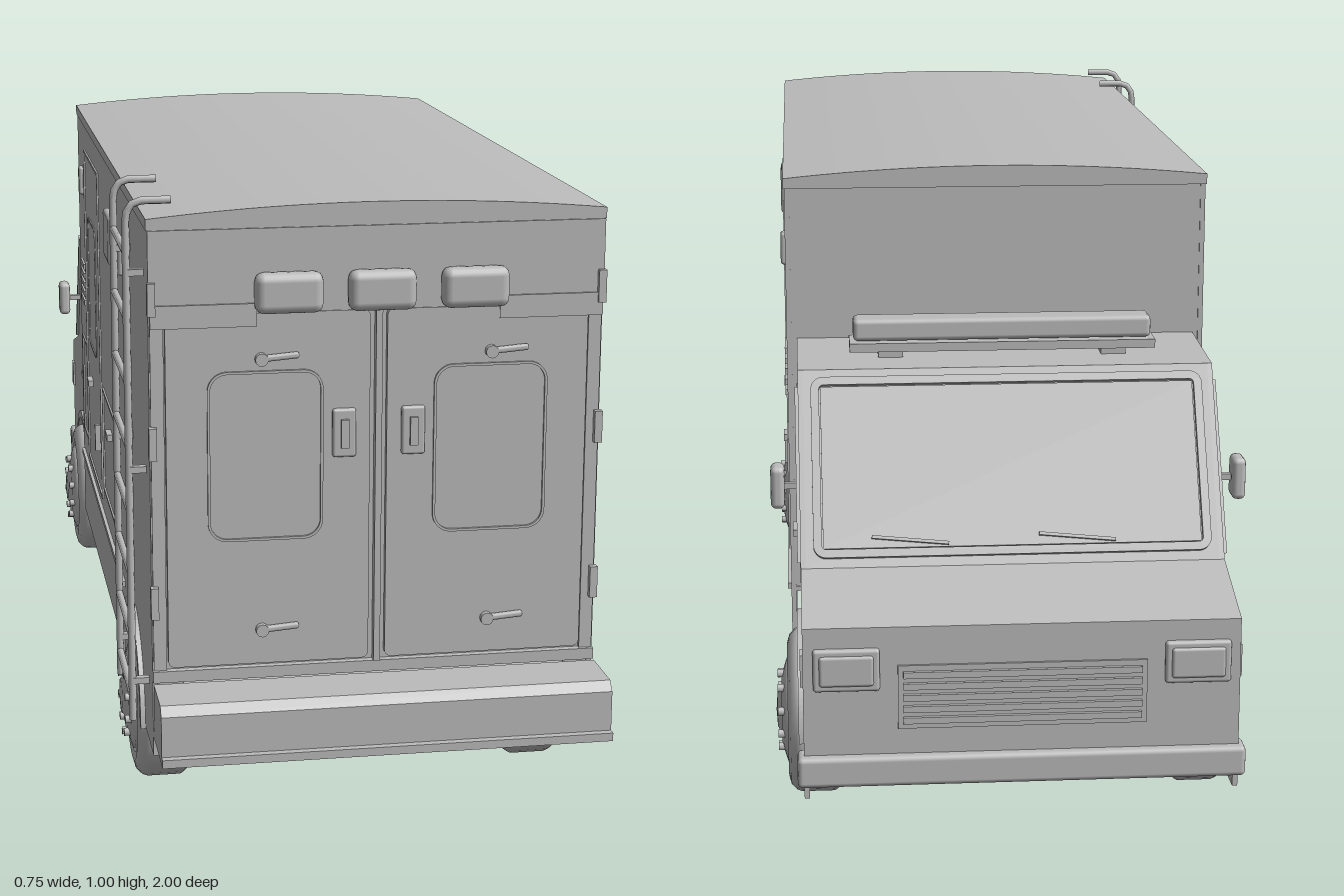
import * as THREE from 'three';
import { RoundedBoxGeometry } from 'three/addons/geometries/RoundedBoxGeometry.js';

const grey = new THREE.MeshStandardMaterial({ color: 0xbcbcbc });
grey.name = 'plain grey';

export function createModel() {
  const model = new THREE.Group();
  model.name = 'boxTruck';

  const add = (name, geo, x = 0, y = 0, z = 0, parent = model) => {
    const m = new THREE.Mesh(geo, grey);
    m.name = name;
    m.position.set(x, y, z);
    parent.add(m);
    return m;
  };
  // Box given by its limits on each axis
  const box = (name, x0, x1, y0, y1, z0, z1, parent) =>
    add(name, new THREE.BoxGeometry(x1 - x0, y1 - y0, z1 - z0),
      (x0 + x1) / 2, (y0 + y1) / 2, (z0 + z1) / 2, parent);
  const rounded = (name, w, h, d, x, y, z, r) =>
    add(name, new RoundedBoxGeometry(w, h, d, 2, r), x, y, z);
  // Side profile drawn as (-z, y), extruded along x
  const across = (name, shape, x0, x1) => {
    const g = new THREE.ExtrudeGeometry(shape, { depth: x1 - x0, bevelEnabled: false, curveSegments: 24 });
    return add(name, g.rotateY(Math.PI / 2), x0);
  };
  const poly = pts => new THREE.Shape(pts.map(p => new THREE.Vector2(...p)));
  const roundRect = (w, h, r) => {
    const s = new THREE.Shape(), a = w / 2 - r, b = h / 2 - r;
    s.absarc(a, b, r, 0, Math.PI / 2);
    s.absarc(-a, b, r, Math.PI / 2, Math.PI);
    s.absarc(-a, -b, r, Math.PI, Math.PI * 1.5);
    s.absarc(a, -b, r, Math.PI * 1.5, Math.PI * 2);
    return s;
  };
  const plate = (w, h, r, d, border = 0) => {
    const s = roundRect(w, h, r);
    if (border) s.holes.push(roundRect(w - 2 * border, h - 2 * border, r - border));
    return new THREE.ExtrudeGeometry(s, { depth: d, bevelEnabled: false, curveSegments: 6 });
  };

  const W = 0.347, CW = 0.33, REAR = 0.87, FRONT = -0.475;
  const AXLES = [0.59, -0.665], AXLE_Y = 0.134;

  // Cargo box: side walls with wheel cut-outs
  const wall = new THREE.Shape();
  wall.moveTo(-REAR, 0.14);
  wall.lineTo(-AXLES[0] - 0.15, 0.14);
  wall.absarc(-AXLES[0], 0.14, 0.15, Math.PI, 0, true);
  wall.lineTo(-FRONT, 0.14);
  wall.lineTo(-FRONT, 0.967);
  wall.lineTo(-REAR, 0.967);
  across('leftBoxWall', wall, W - 0.008, W);
  across('rightBoxWall', wall, -W, -W + 0.008);
  box('rearWall', -W + 0.008, W - 0.008, 0.172, 0.967, REAR - 0.02, REAR - 0.002);
  box('frontBulkhead', -W + 0.008, W - 0.008, 0.28, 0.967, FRONT + 0.002, FRONT + 0.012);
  box('floor', -W + 0.008, W - 0.008, 0.272, 0.28, FRONT, REAR - 0.02);
  box('cabFloor', -CW + 0.008, CW - 0.008, 0.272, 0.28, -0.972, FRONT);

  // Crowned roof
  const crown = new THREE.Shape();
  crown.moveTo(-W - 0.002, 0.962);
  crown.lineTo(W + 0.002, 0.962);
  crown.lineTo(W + 0.002, 0.979);
  crown.quadraticCurveTo(0, 1.015, -W - 0.002, 0.979);
  add('roof', new THREE.ExtrudeGeometry(crown, { depth: REAR - FRONT + 0.006, bevelEnabled: false, curveSegments: 24 }), 0, 0, FRONT - 0.003);

  // Cab: two cheeks and a folded shell between them
  const cab = new THREE.Shape();
  cab.moveTo(0.475, 0.115);
  cab.lineTo(0.515, 0.115);
  cab.lineTo(0.515, 0.14);
  cab.absarc(0.665, 0.14, 0.15, Math.PI, 0, true);
  cab.lineTo(0.815, 0.115);
  [[0.985, 0.115], [0.985, 0.385], [0.83, 0.428], [0.672, 0.705], [0.475, 0.712]].forEach(p => cab.lineTo(...p));
  across('leftCabSide', cab, CW - 0.008, CW);
  across('rightCabSide', cab, -CW, -CW + 0.008);
  across('cabShell', poly([[0.475, 0.712], [0.672, 0.705], [0.83, 0.428], [0.985, 0.385], [0.985, 0.136],
    [0.975, 0.136], [0.975, 0.378], [0.824, 0.42], [0.667, 0.697], [0.475, 0.704]]), -CW + 0.008, CW - 0.008);

  // Windshield with frame and wipers
  const screen = new THREE.Group();
  screen.name = 'windshield';
  screen.position.set(0, 0.567, -0.752);
  screen.rotation.x = 0.518;
  model.add(screen);
  add('windshieldFrame', plate(0.62, 0.29, 0.02, 0.009, 0.013), 0, 0, -0.009, screen);
  box('windshieldGlass', -0.295, 0.295, -0.13, 0.13, -0.004, 0, screen);
  [-0.1, 0.16].forEach(x => {
    const wiper = box('wiper', x - 0.06, x + 0.06, -0.122, -0.117, -0.011, -0.005, screen);
    wiper.rotation.z = 0.1;
  });

  // Nose: grille, headlights and bumper
  box('grillePanel', -0.188, 0.188, 0.225, 0.325, -0.989, -0.984);
  for (let i = 0; i < 5; i++) box('grilleSlat', -0.18, 0.18, 0.234 + i * 0.018, 0.244 + i * 0.018, -0.995, -0.986);
  [-1, 1].forEach(s => {
    rounded('headlightFrame', 0.1, 0.066, 0.014, s * 0.265, 0.32, -0.987, 0.005);
    rounded('headlight', 0.082, 0.048, 0.012, s * 0.265, 0.32, -0.992, 0.005);
  });
  rounded('frontBumper', 0.68, 0.048, 0.045, 0, 0.16, -0.9775, 0.008);

  // Roof light bar
  rounded('lightBar', 0.48, 0.036, 0.05, 0, 0.753, -0.587, 0.008);
  box('lightBarBase', -0.246, 0.246, 0.72, 0.734, -0.621, -0.553);
  [-0.18, 0.18].forEach(x => box('lightBarFoot', x - 0.02, x + 0.02, 0.7, 0.725, -0.605, -0.57));
  [-0.2, 0.2].forEach(x => box('lightBarPost', x - 0.01, x + 0.01, 0.73, 0.745, -0.6, -0.575));

  // Rear end: header, posts, doors, lamps and step bumper
  box('rearHeader', -W, W, 0.835, 0.962, REAR - 0.005, REAR + 0.006);
  box('centrePost', -0.005, 0.005, 0.28, 0.84, REAR - 0.004, REAR + 0.012);
  box('doorSill', -W, W, 0.262, 0.28, REAR - 0.005, REAR + 0.01);
  [-1, 1].forEach(s => {
    add('rearDoor', plate(0.31, 0.55, 0.01, 0.012), s * 0.168, 0.56, REAR - 0.004);
    box('cornerPost', s * 0.335 - 0.01, s * 0.335 + 0.01, 0.28, 0.82, REAR - 0.005, REAR + 0.004);
    box('headerCorner', s * 0.265 - 0.08, s * 0.265 + 0.08, 0.815, 0.85, REAR, REAR + 0.01);
    add('rearWindowTrim', plate(0.176, 0.264, 0.03, 0.007, 0.004), s * 0.173, 0.615, REAR + 0.005);
    rounded('rearHandlePlate', 0.036, 0.075, 0.012, s * 0.053, 0.647, REAR + 0.01, 0.004);
    box('rearHandle', s * 0.053 - 0.006, s * 0.053 + 0.006, 0.625, 0.669, REAR + 0.01, REAR + 0.022);
    [0.34, 0.765].forEach(y => {
      rounded('doorLatch', 0.06, 0.01, 0.01, s * 0.176 + 0.024, y + 0.003, REAR + 0.012, 0.004).rotation.z = 0.08;
      add('latchPivot', new THREE.CylinderGeometry(0.01, 0.01, 0.012, 12).rotateX(Math.PI / 2), s * 0.176 - 0.003, y, REAR + 0.012);
    });
    [0.39, 0.64, 0.86].forEach(y => box('doorHinge', s * 0.343 - 0.006, s * 0.343 + 0.006, y - 0.025, y + 0.025, REAR, REAR + 0.014));
  });
  [-0.138, 0.003, 0.145].forEach(x => rounded('rearLamp', 0.103, 0.062, 0.034, x, 0.866, REAR + 0.014, 0.014));
  across('rearBumper', poly([[-0.885, 0.184], [-0.988, 0.184], [-0.988, 0.248], [-0.975, 0.262], [-0.885, 0.262]]), -W, W);
  box('bumperStep', -W, W, 0.172, 0.185, 0.868, 1.0);
  box('bumperMount', -0.3, 0.3, 0.19, 0.258, 0.865, 0.89);

  // Fittings repeated on both flanks
  [-1, 1].forEach(s => {
    const onSide = (name, z0, z1, y0, y1, t = 0.004, base = W) =>
      box(name, Math.min(s * (base - 0.002), s * (base + t)), Math.max(s * (base - 0.002), s * (base + t)), y0, y1, z0, z1);
    const outline = (name, z0, z1, y0, y1, e = 0.005) => {
      onSide(name, z0, z1, y0, y0 + e, 0.003);
      onSide(name, z0, z1, y1 - e, y1, 0.003);
      onSide(name, z0, z0 + e, y0, y1, 0.003);
      onSide(name, z1 - e, z1, y0, y1, 0.003);
    };
    outline('sideDoorSeam', -0.31, 0.005, 0.3, 0.915);
    outline('rearLockerSeam', 0.04, 0.36, 0.33, 0.525);
    outline('frontLockerSeam', -0.42, -0.31, 0.33, 0.525);
    add('sideDoorWindowTrim', plate(0.165, 0.25, 0.025, 0.004, 0.004).rotateY(s * Math.PI / 2), s * (W - 0.002), 0.67, -0.17);
    onSide('skirtRail', -0.45, 0.43, 0.268, 0.278, 0.006);
    rounded('sideLamp', 0.02, 0.085, 0.1, s * W, 0.845, 0.262, 0.007);
    [0.467, -0.37].forEach(z => rounded('markerLamp', 0.016, 0.055, 0.024, s * W, 0.845, z, 0.005));
    for (let i = 0; i < 5; i++) onSide('sideVentSlat', -0.415, -0.335, 0.6 + i * 0.018, 0.61 + i * 0.018, 0.004);
    [0.2, -0.21].forEach(z => onSide('lockerHandle', z - 0.02, z + 0.02, 0.469, 0.481, 0.01));
    onSide('sideDoorHandle', -0.055, -0.045, 0.38, 0.43, 0.01);

    // Cab door, handle, window pillar and mirror
    onSide('cabDoorSeam', -0.518, -0.513, 0.3, 0.645, 0.002, CW);
    onSide('cabDoorHandle', -0.575, -0.525, 0.4, 0.411, 0.012, CW);
    onSide('cornerLamp', -0.975, -0.945, 0.29, 0.34, 0.004, CW);
    across('windowPillar', poly([[0.68, 0.68], [0.822, 0.435], [0.808, 0.435], [0.672, 0.672]]), s > 0 ? CW : -CW - 0.005, s > 0 ? CW + 0.005 : -CW);
    rounded('mirror', 0.022, 0.068, 0.042, s * 0.364, 0.535, -0.735, 0.009);
    box('mirrorArm', s * 0.345 - 0.02, s * 0.345 + 0.02, 0.53, 0.54, -0.74, -0.73);

    // Wheels and arch flares
    AXLES.forEach((z, i) => {
      const base = i ? CW : W;
      const flare = new THREE.Shape();
      flare.absarc(-z, 0.137, 0.16, 0, Math.PI);
      flare.absarc(-z, 0.137, 0.145, Math.PI, 0, true);
      across('archFlare', flare, s > 0 ? base - 0.02 : -base - 0.008, s > 0 ? base + 0.008 : -base + 0.02);
      const wheel = new THREE.Group();
      wheel.name = i ? 'frontWheel' : 'rearWheel';
      wheel.position.set(s * 0.308, AXLE_Y, z);
      wheel.rotation.z = -s * Math.PI / 2;
      model.add(wheel);
      const tyre = [[0, -0.044], [0.115, -0.044], [0.124, -0.04], [0.132, -0.03], [0.134, -0.026], [0.134, 0.026],
        [0.131, 0.034], [0.122, 0.043], [0.108, 0.047], [0.094, 0.045], [0.088, 0.036]].map(p => new THREE.Vector2(...p));
      add('tyre', new THREE.LatheGeometry(tyre, 40), 0, 0, 0, wheel);
      const hub = [[0.09, 0.036], [0.087, 0.047], [0.078, 0.05], [0.055, 0.057], [0.034, 0.058],
        [0.028, 0.064], [0, 0.066]].map(p => new THREE.Vector2(...p));
      add('hub', new THREE.LatheGeometry(hub, 28), 0, 0, 0, wheel);
      for (let k = 0; k < 10; k++) {
        const a = k * Math.PI / 5;
        add('wheelNut', new THREE.CylinderGeometry(0.007, 0.007, 0.012, 8), Math.cos(a) * 0.062, 0.057, Math.sin(a) * 0.062, wheel);
      }
    });
  });

  // Ladder on the right flank
  const rail = new THREE.CurvePath();
  const v = (x, y) => new THREE.Vector3(x, y, 0);
  rail.add(new THREE.LineCurve3(v(-0.373, 0.18), v(-0.373, 0.965)));
  rail.add(new THREE.QuadraticBezierCurve3(v(-0.373, 0.965), v(-0.373, 0.998), v(-0.345, 0.998)));
  rail.add(new THREE.LineCurve3(v(-0.345, 0.998), v(-0.305, 0.998)));
  [0.61, 0.815].forEach(z => {
    add('ladderRail', new THREE.TubeGeometry(rail, 60, 0.006, 8), 0, 0, z);
    [0.245, 0.585, 0.89].forEach(y => box('ladderBracket', -0.373, -0.34, y - 0.005, y + 0.005, z - 0.006, z + 0.006));
  });
  for (let i = 0; i < 8; i++)
    add('ladderRung', new THREE.CylinderGeometry(0.006, 0.006, 0.205, 8).rotateX(Math.PI / 2), -0.373, 0.22 + i * 0.1, 0.7125);

  return model;
}
